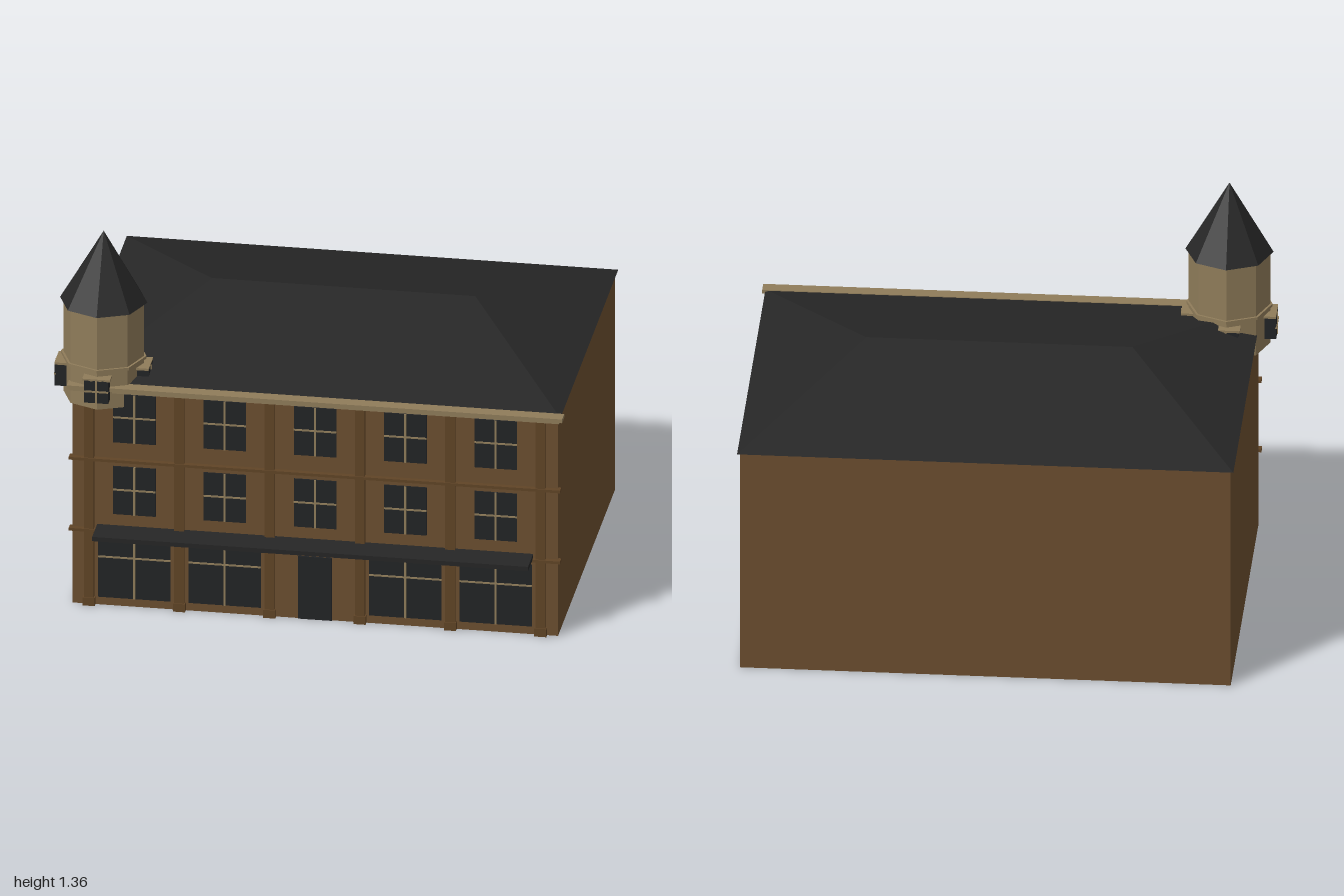
import * as THREE from 'three';

const paint = (name, color, extra = {}) => new THREE.MeshStandardMaterial({ name, color, ...extra });

export function createModel() {
  const brick = paint('brown brick', 0x6b4e2f);
  const trim = paint('dark brown trim', 0x604426);
  const stone = paint('tan stone', 0x8f7c5a);
  const slate = paint('dark slate', 0x262626);
  const glass = paint('dark glass', 0x222426);
  slate.flatShading = stone.flatShading = true;

  // The building stands turned on its plot
  const model = new THREE.Group();
  const building = new THREE.Group();
  building.name = 'building';
  building.position.set(-0.006, 0, -0.034);
  building.rotation.y = 0.299;
  model.add(building);

  const W = 1.68, D = 1.2, H = 0.825, front = D / 2;

  const add = (parent, name, geometry, material, x = 0, y = 0, z = 0) => {
    const mesh = new THREE.Mesh(geometry, material);
    mesh.name = name;
    mesh.position.set(x, y, z);
    parent.add(mesh);
    return mesh;
  };
  // Box given by its centre in x and its bottom, top, back and front
  const block = (parent, name, material, x, w, y0, y1, z0, z1) =>
    add(parent, name, new THREE.BoxGeometry(w, y1 - y0, z1 - z0), material,
      x, (y0 + y1) / 2, (z0 + z1) / 2);

  block(building, 'walls', brick, 0, W, 0, H, -front, front);

  // Hipped roof: an eave rectangle rising to a short ridge
  const ex = 0.85, ez = 0.61, rx = 0.456, eave = H, ridge = 0.975;
  const A = [-ex, eave, ez], B = [ex, eave, ez], C = [ex, eave, -ez], E = [-ex, eave, -ez];
  const L = [-rx, ridge, 0], R = [rx, ridge, 0];
  const faces = [A, B, R, A, R, L, B, C, R, C, E, L, C, L, R, E, A, L, A, E, C, A, C, B];
  const roofGeometry = new THREE.BufferGeometry();
  roofGeometry.setAttribute('position', new THREE.Float32BufferAttribute(faces.flat(), 3));
  roofGeometry.computeVertexNormals();
  add(building, 'hippedRoof', roofGeometry, slate);

  // Cornice and string courses
  block(building, 'cornice', stone, 0.003, 1.714, 0.818, 0.832, front - 0.01, front + 0.036);
  block(building, 'corniceMoulding', stone, 0, 1.695, 0.806, 0.818, front - 0.01, front + 0.02);
  for (const y of [0.283, 0.55]) {
    block(building, 'stringCourse', trim, 0, 1.7, y - 0.005, y + 0.005, front - 0.01, front + 0.018);
  }

  // Pilasters between the bays
  for (let i = 0; i < 6; i++) {
    const x = (i - 2.5) * 0.3125;
    block(building, 'pilaster', trim, x, 0.034, 0, 0.806, front - 0.005, front + 0.014);
    block(building, 'pilasterBase', trim, x, 0.042, 0, 0.03, front - 0.005, front + 0.018);
  }

  // Window: pane with one upright bar and one crossbar
  const makeWindow = (parent, name, x, w, y0, y1, z, barY) => {
    const group = new THREE.Group();
    group.name = name;
    block(group, 'pane', glass, x, w, y0, y1, z - 0.002, z + 0.004);
    block(group, 'uprightBar', stone, x, 0.007, y0, y1, z, z + 0.007);
    block(group, 'crossbar', stone, x, w, barY - 0.003, barY + 0.003, z, z + 0.007);
    parent.add(group);
  };

  // Five bays: two upper floors, shopfronts and a central door
  for (let i = -2; i <= 2; i++) {
    const x = i * 0.3125;
    makeWindow(building, 'upperWindow', x, 0.147, 0.615, 0.797, front, 0.71);
    makeWindow(building, 'middleWindow', x, 0.147, 0.345, 0.525, front, 0.438);
    if (i !== 0) makeWindow(building, 'shopWindow', x, 0.25, 0.03, 0.262, front, 0.183);
  }
  block(building, 'door', glass, 0, 0.116, 0, 0.235, front - 0.002, front + 0.005);

  // Flat awning along the shopfronts
  block(building, 'awning', slate, 0, 1.508, 0.286, 0.302, front, front + 0.107);

  // Eight-sided corner turret
  const turret = new THREE.Group();
  turret.name = 'turret';
  turret.position.set(-0.748, 0, 0.5);
  building.add(turret);
  const prism = (name, r0, r1, y0, y1, material) =>
    add(turret, name, new THREE.CylinderGeometry(r1, r0, y1 - y0, 8), material, 0, (y0 + y1) / 2, 0);
  prism('turretWall', 0.14, 0.14, 0.75, 1.1, stone);
  prism('turretBand', 0.148, 0.148, 0.89, 0.9, stone);
  prism('turretRoof', 0.151, 0, 1.1, 1.36, slate);

  // Projecting turret windows facing the four sides
  for (let i = 0; i < 4; i++) {
    const side = new THREE.Group();
    side.name = 'turretWindow';
    side.rotation.y = i * Math.PI / 2;
    block(side, 'windowBox', glass, 0, 0.084, 0.785, 0.868, 0.09, 0.158);
    makeWindow(side, 'turretPane', 0, 0.084, 0.785, 0.868, 0.159, 0.828);
    block(side, 'windowHead', stone, 0, 0.096, 0.866, 0.874, 0.09, 0.163);
    turret.add(side);
  }

  return model;
}
